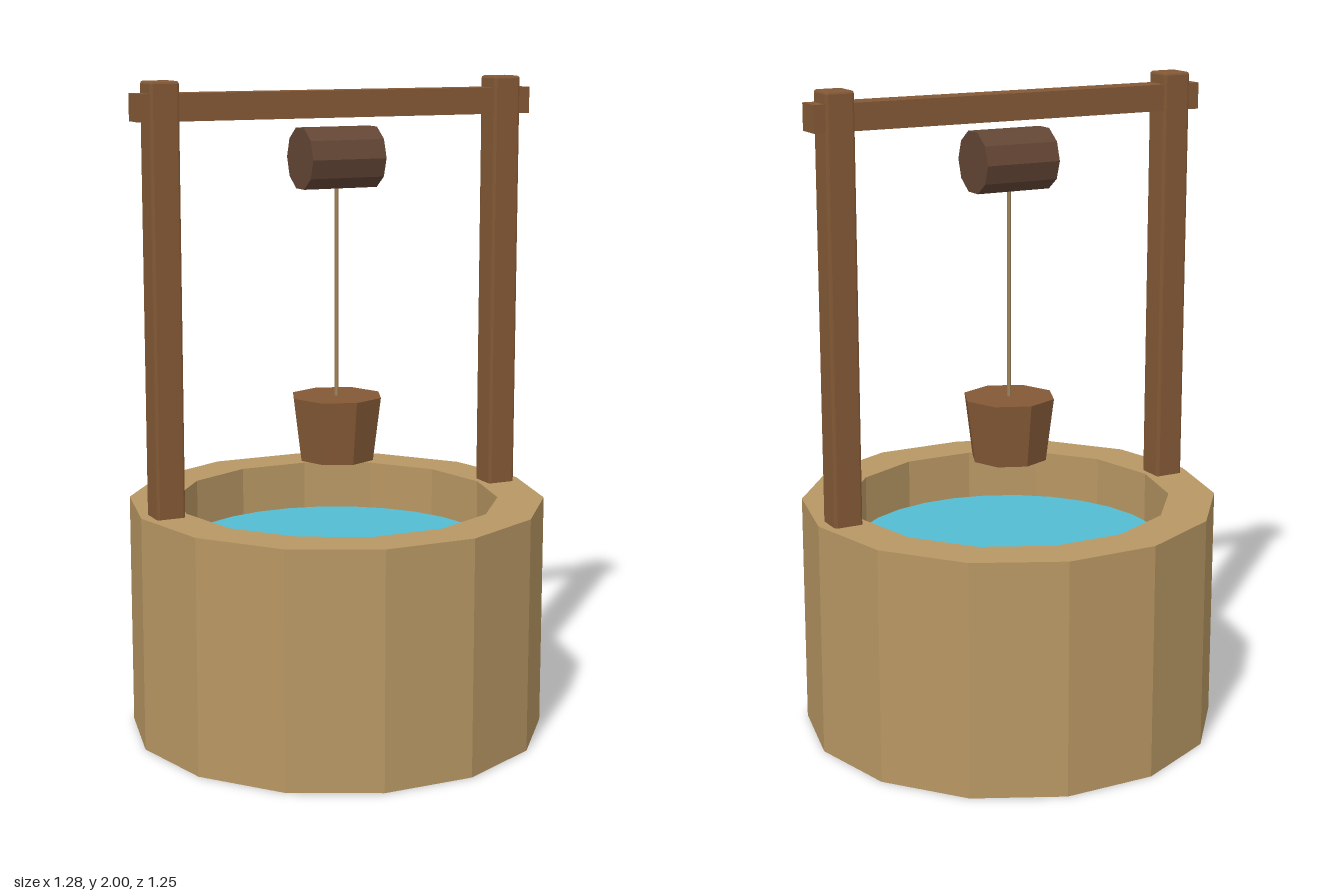
import * as THREE from 'three';
import { RoundedBoxGeometry } from 'three/addons/geometries/RoundedBoxGeometry.js';

const material = (name, color) => {
  const m = new THREE.MeshStandardMaterial({ color });
  m.name = name;
  return m;
};

// Gives every facet its own flat normal
function faceted(geometry) {
  const g = geometry.index ? geometry.toNonIndexed() : geometry;
  g.computeVertexNormals();
  return g;
}

export function createModel() {
  const model = new THREE.Group();
  model.name = 'well';

  const stone = material('tan stone', 0xb89764);
  const wood = material('brown wood', 0x845936);
  const darkWood = material('dark wood', 0x644635);
  const ropeTan = material('rope tan', 0xa08258);
  const blue = material('water blue', 0x54bcd1);

  const add = (name, geometry, mat, x = 0, y = 0, z = 0) => {
    const mesh = new THREE.Mesh(faceted(geometry), mat);
    mesh.name = name;
    mesh.position.set(x, y, z);
    model.add(mesh);
    return mesh;
  };

  // Basin: fourteen-sided ring wall with a closed floor
  const sides = 14;
  const profile = [[0, 0], [0.64, 0], [0.64, 0.72], [0.497, 0.72], [0.497, 0.5], [0, 0.5]]
    .map(([r, y]) => new THREE.Vector2(r, y));
  add('basinWall', new THREE.LatheGeometry(profile, sides, Math.PI / sides), stone);

  // Water surface, turned half a facet against the wall
  add('water', new THREE.CylinderGeometry(0.497, 0.497, 0.04, sides), blue, 0, 0.55);

  // Chamfered posts standing on the rim
  for (const side of [-1, 1]) {
    add(side > 0 ? 'leftPost' : 'rightPost',
      new RoundedBoxGeometry(0.09, 1.3, 0.09, 1, 0.008), wood, side * 0.56, 1.35);
  }

  // Crossbeam passing through both posts
  add('crossbeam', new THREE.BoxGeometry(1.28, 0.08, 0.08), wood, 0, 1.925);

  // Winding drum lying along x
  add('drum', new THREE.CylinderGeometry(0.095, 0.095, 0.24, 10).rotateZ(Math.PI / 2),
    darkWood, 0, 1.765);

  // Rope from drum to bucket
  add('rope', new THREE.CylinderGeometry(0.006, 0.006, 0.68, 6), ropeTan, 0, 1.36);

  // Tapered bucket
  add('bucket', new THREE.CylinderGeometry(0.143, 0.118, 0.195, 8), wood, 0, 0.943);

  return model;
}
